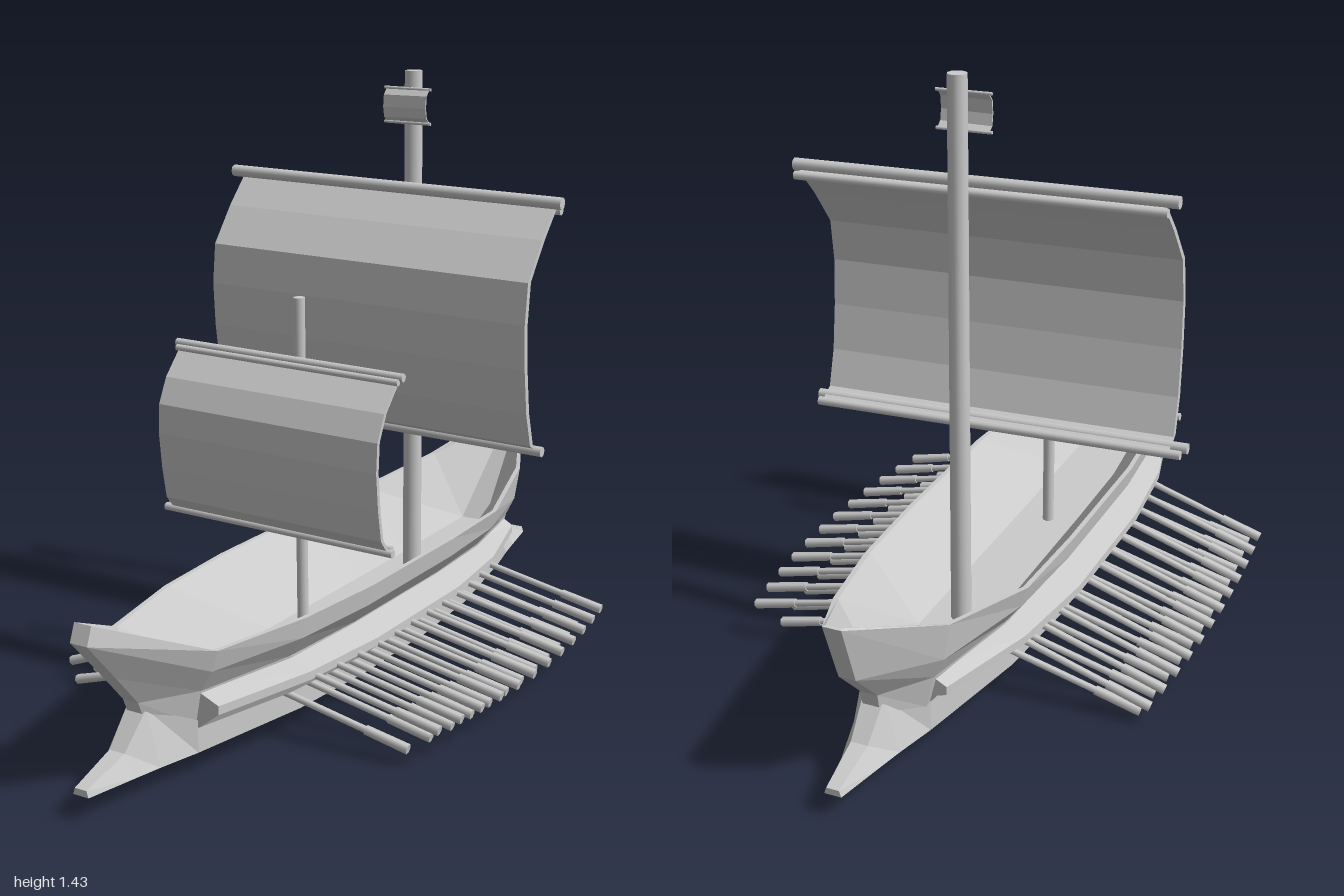
import * as THREE from 'three';

const CX = -0.02; // centre line of the ship
const material = new THREE.MeshStandardMaterial({ color: 0xcccccc, flatShading: true, side: THREE.DoubleSide });
const smooth = new THREE.MeshStandardMaterial({ color: 0xcccccc });

function add(parent, name, geometry, mat = material) {
  const mesh = new THREE.Mesh(geometry, mat);
  mesh.name = name;
  parent.add(mesh);
  return mesh;
}

// Skins closed rings of [x, y, z] points, ordered by rising z, and caps the ends
function loft(rings) {
  const out = [];
  const quad = (a, b, c, d) => out.push(...a, ...b, ...c, ...a, ...c, ...d);
  const n = rings[0].length;
  for (let k = 0; k < rings.length - 1; k++) {
    const a = rings[k], b = rings[k + 1];
    for (let j = 0; j < n; j++) quad(a[j], a[(j + 1) % n], b[(j + 1) % n], b[j]);
  }
  const first = rings[0], last = rings[rings.length - 1];
  for (let j = 0; j < n / 2 - 1; j++) {
    quad(first[j], first[n - 1 - j], first[n - 2 - j], first[j + 1]);
    quad(last[j], last[j + 1], last[n - 2 - j], last[n - 1 - j]);
  }
  const g = new THREE.BufferGeometry();
  g.setAttribute('position', new THREE.Float32BufferAttribute(out, 3));
  g.computeVertexNormals();
  return g;
}

const mirrored = (half) => [...half, ...half.map(([x, y, z]) => [-x, y, z]).reverse()];

// Round bar between two points
function bar(parent, name, from, to, r0, r1 = r0, sides = 8) {
  const a = new THREE.Vector3(...from), b = new THREE.Vector3(...to);
  const mesh = add(parent, name, new THREE.CylinderGeometry(r1, r0, a.distanceTo(b), sides), smooth);
  mesh.position.copy(a).add(b).multiplyScalar(0.5);
  mesh.quaternion.setFromUnitVectors(new THREE.Vector3(0, 1, 0), b.sub(a).normalize());
  return mesh;
}

// Cloth of even thickness following a (z, y) curve, stretched along x
function cloth(parent, name, curve, x0, x1, t) {
  const back = curve.map(([z, y]) => [z - t, y]).reverse();
  const shape = new THREE.Shape([...curve, ...back].map(([z, y]) => new THREE.Vector2(-z, y)));
  const g = new THREE.ExtrudeGeometry(shape, { depth: x1 - x0, bevelEnabled: false });
  g.rotateY(Math.PI / 2);
  g.translate(x0, 0, 0);
  return add(parent, name, g);
}

function makeHull() {
  const hull = new THREE.Group();
  hull.name = 'hull';
  hull.position.x = CX;

  // Flat-bottomed lower hull with a ram at each end: z, bottom half width, top half width, top y
  const keel = [[1, 0.02, 0.015, 0.07], [0.88, 0.045, 0.02, 0.105], [0.81, 0.06, 0.025, 0.18],
    [0.71, 0.085, 0.085, 0.13], [0.4, 0.145, 0.145, 0.13], [0.15, 0.165, 0.165, 0.13]];
  const keelRing = ([z, b, t, y], s) => mirrored([[b, 0.055, z * s], [t, y, z * s]]);
  add(hull, 'lowerHull', loft([...keel.map((k) => keelRing(k, -1)), ...keel.reverse().map((k) => keelRing(k, 1))]));

  // Open upper hull: z, base, waist, side, rail, rail y, floor half width, floor y
  const body = [
    [-0.72, 0.08, 0.1, 0.125, 0.14, 0.34, 0.035, 0.17],
    [-0.45, 0.135, 0.15, 0.19, 0.205, 0.3, 0.07, 0.14],
    [-0.2, 0.16, 0.165, 0.205, 0.215, 0.3, 0.075, 0.135],
    [0.2, 0.16, 0.165, 0.205, 0.215, 0.3, 0.075, 0.135],
    [0.45, 0.135, 0.15, 0.185, 0.195, 0.3, 0.075, 0.14],
    [0.71, 0.08, 0.095, 0.125, 0.14, 0.3, 0.06, 0.16],
  ].map(([z, b, w, m, r, ry, f, fy]) => mirrored([
    [b, 0.12, z], [w, 0.2, z], [m, 0.25, z], [r, ry, z], [r - 0.012, ry, z], [f, fy, z]]));
  const stern = mirrored([[0.02, 0.15, -0.82], [0.02, 0.2, -0.83], [0.02, 0.29, -0.92],
    [0.022, 0.44, -0.975], [0.018, 0.44, -0.965], [0.016, 0.41, -0.955]]);
  const bow = mirrored([[0.02, 0.15, 0.81], [0.02, 0.2, 0.83], [0.02, 0.28, 0.9],
    [0.022, 0.38, 0.99], [0.022, 0.42, 0.975], [0.018, 0.39, 0.955]]);
  add(hull, 'upperHull', loft([stern, ...body, bow]));

  // Outrigger ledges that carry the oars
  const ledge = [[-0.71, 0.08, 0.125], [-0.45, 0.13, 0.2], [-0.2, 0.155, 0.23],
    [0.2, 0.155, 0.23], [0.45, 0.13, 0.205], [0.71, 0.08, 0.14]];
  for (const s of [1, -1]) {
    const rings = ledge.map(([z, a, b]) => {
      const ring = [[a * s, 0.11, z], [(b - 0.05) * s, 0.115, z], [(b - 0.035) * s, 0.145, z],
        [b * s, 0.155, z], [b * s, 0.175, z], [a * s, 0.2, z]];
      return s > 0 ? ring : ring.reverse();
    });
    add(hull, s > 0 ? 'leftLedge' : 'rightLedge', loft(rings));
  }
  return hull;
}

// Two banks of oars on each side, following the curve of the hull
function makeOars() {
  const oars = new THREE.Group();
  oars.name = 'oars';
  oars.position.x = CX;
  for (const s of [1, -1]) {
    for (const lower of [0, 1]) {
      for (let i = 0; i < 12; i++) {
        const z = -0.43 + i * 0.078 + lower * 0.022 - (s < 0 ? 0.01 : 0);
        const inset = 0.2 * z * z + lower * 0.055;
        const x0 = 0.19 - inset, x1 = (s > 0 ? 0.55 : 0.515) - inset * (s > 0 ? 1.1 : 0.6);
        const y0 = 0.168 - lower * 0.05;
        const y1 = (s > 0 ? 0.09 : 0.045) - lower * (s > 0 ? 0.05 : 0.033);
        const at = (t) => [s * (x0 + (x1 - x0) * t), y0 + (y1 - y0) * t, z - s * 0.018 * t];
        bar(oars, 'oarShaft', at(0), at(0.75), 0.008, 0.008, 6);
        bar(oars, 'oarBlade', at(0.7), at(1), 0.011, 0.012, 6);
      }
    }
  }
  return oars;
}

// Sail with paired yards at head and foot, slightly askew
function makeSail(name, curve, x0, x1, t, yards) {
  const sail = new THREE.Group();
  sail.name = name;
  sail.rotation.set(0, 0.02, -0.022);
  cloth(sail, 'sailCloth', curve, x0, x1, t);
  for (const [z, y, r, a, b] of yards) bar(sail, 'yard', [a, y, z], [b, y, z], r);
  return sail;
}

export function createModel() {
  const ship = new THREE.Group();
  ship.name = 'galley';
  ship.add(makeHull(), makeOars());

  // Masts
  bar(ship, 'mainMast', [CX - 0.005, 0.13, -0.378], [CX - 0.005, 1.435, -0.363], 0.024, 0.022, 12);
  bar(ship, 'foreMast', [CX - 0.005, 0.13, 0.155], [CX - 0.005, 0.95, 0.165], 0.014, 0.014, 10);

  // Sails bellying forward
  ship.add(makeSail('mainSail',
    [[-0.245, 1.15], [-0.18, 1.08], [-0.112, 0.99], [-0.104, 0.89], [-0.115, 0.78], [-0.135, 0.67], [-0.165, 0.585], [-0.2, 0.565]],
    -0.472, 0.4, 0.016,
    [[-0.242, 1.16, 0.015, -0.5, 0.42], [-0.262, 1.14, 0.011, -0.48, 0.41],
      [-0.193, 0.567, 0.013, -0.51, 0.42], [-0.218, 0.56, 0.011, -0.5, 0.41]]));
  ship.add(makeSail('foreSail',
    [[0.245, 0.815], [0.305, 0.75], [0.333, 0.69], [0.335, 0.62], [0.322, 0.53], [0.305, 0.455], [0.275, 0.42]],
    -0.325, 0.26, 0.011,
    [[0.242, 0.82, 0.01, -0.337, 0.272], [0.253, 0.81, 0.008, -0.33, 0.265],
      [0.275, 0.42, 0.01, -0.347, 0.275], [0.268, 0.428, 0.008, -0.34, 0.268]]));

  // Small topsail at the masthead
  const top = new THREE.Group();
  top.name = 'topSail';
  ship.add(top);
  cloth(top, 'topSailCloth', [[-0.342, 1.39], [-0.328, 1.375], [-0.325, 1.345], [-0.33, 1.32], [-0.342, 1.31]], -0.09, 0.03, 0.004);
  for (const y of [1.392, 1.308]) bar(top, 'topYard', [-0.095, y, -0.342], [0.035, y - 0.002, -0.344], 0.004);
  return ship;
}
